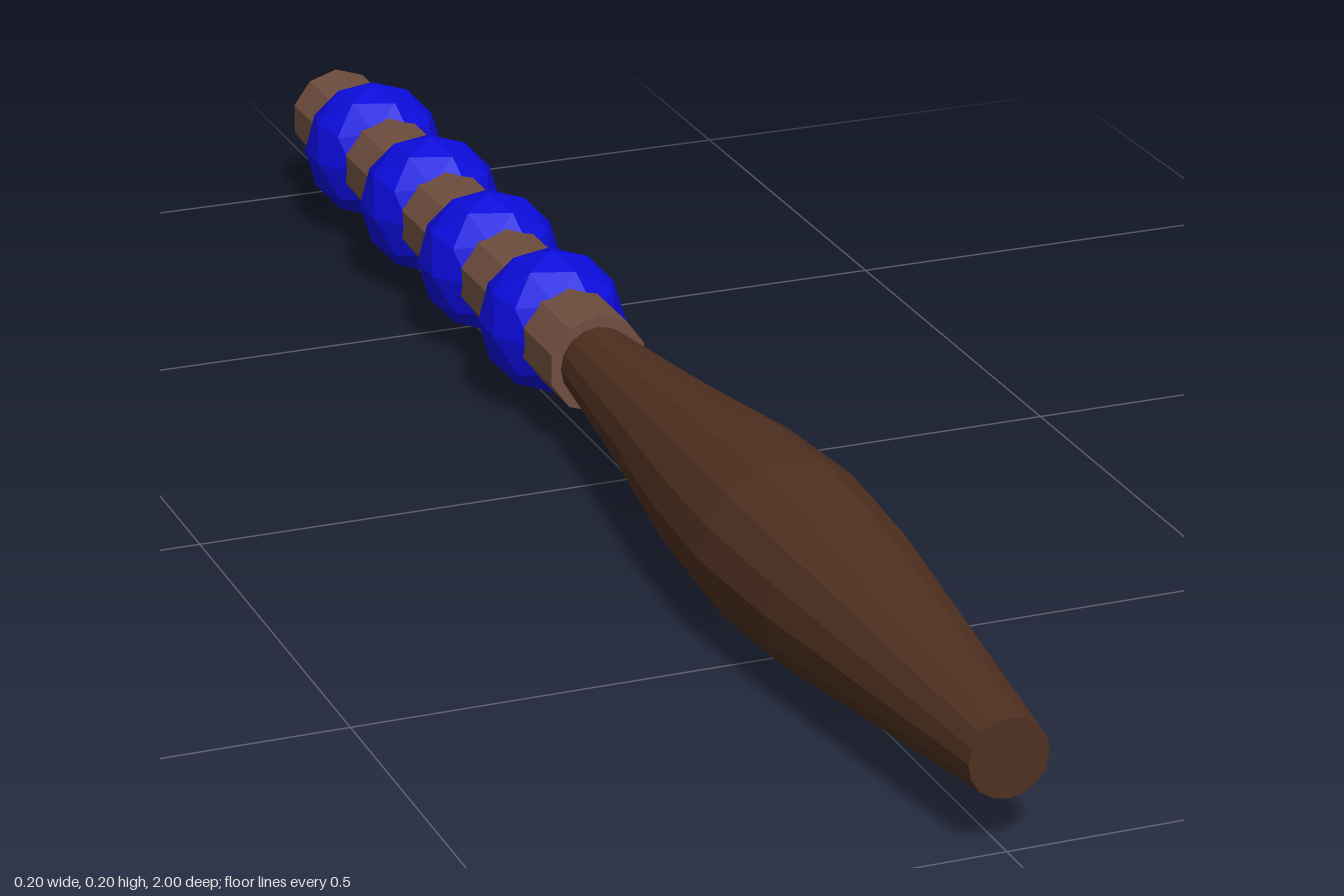
import * as THREE from 'three';

const AXIS_Y = 0.1;

export function createModel() {
  const group = new THREE.Group();
  const material = (name, color) => {
    const m = new THREE.MeshStandardMaterial({ color, flatShading: true });
    m.name = name;
    return m;
  };
  const darkWood = material('darkWood', 0x4f3020);
  const lightWood = material('lightWood', 0x6e4e3e);
  const blue = material('beadBlue', 0x0c0cdc);

  const add = (name, geometry, mat, z) => {
    const mesh = new THREE.Mesh(geometry, mat);
    mesh.name = name;
    mesh.position.set(0, AXIS_Y, z);
    group.add(mesh);
  };

  // Swelling 16-sided grip, lying along z: [radius, z]
  const profile = [
    [0, -0.11], [0.043, -0.11], [0.065, 0.1], [0.091, 0.3], [0.1, 0.45],
    [0.091, 0.6], [0.067, 0.8], [0.043, 1], [0, 1],
  ].map(([r, z]) => new THREE.Vector2(r, z));
  add('handle', new THREE.LatheGeometry(profile, 16).rotateX(Math.PI / 2), darkWood, 0);

  // Ten-sided rod behind the grip
  add('rod', new THREE.CylinderGeometry(0.058, 0.058, 0.9, 10).rotateX(Math.PI / 2), lightWood, -0.55);

  // Faceted beads, turned so that a corner points straight up
  const golden = (1 + Math.sqrt(5)) / 2;
  const bead = new THREE.IcosahedronGeometry(0.084, 1)
    .rotateX(-Math.atan(golden))
    .rotateY(Math.PI / 2);
  for (let i = 0; i < 4; i++) add(`bead${i + 1}`, bead, blue, -0.245 - i * 0.205);

  return group;
}
